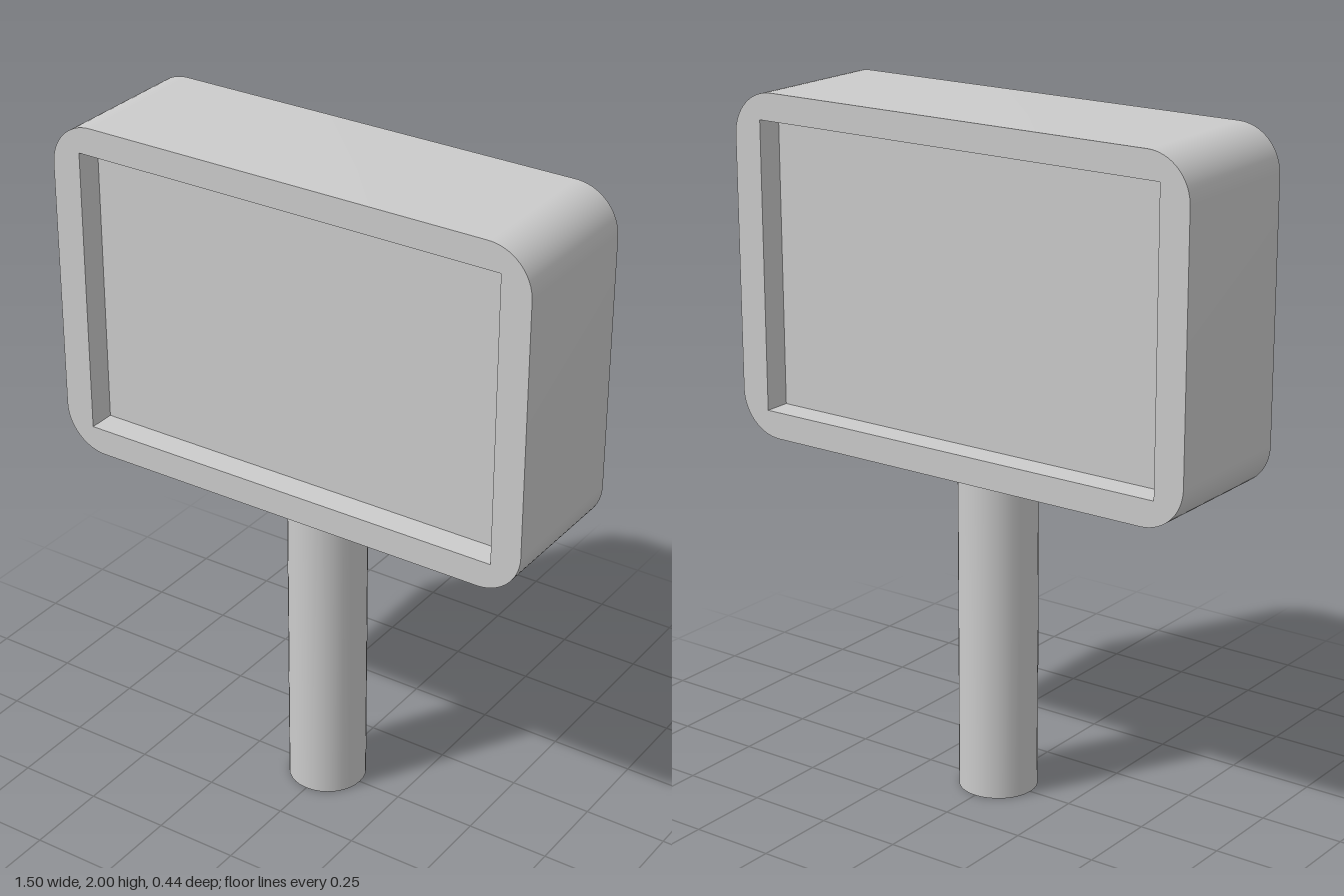
import * as THREE from 'three';
import { toCreasedNormals } from 'three/addons/utils/BufferGeometryUtils.js';

const material = new THREE.MeshStandardMaterial({ color: 0xcccccc });

function addPart(group, name, geometry, y) {
  const mesh = new THREE.Mesh(geometry, material);
  mesh.name = name;
  mesh.position.y = y;
  group.add(mesh);
}

function roundedRect(w, h, r) {
  const x = w / 2, y = h / 2, q = Math.PI / 2;
  const shape = new THREE.Shape();
  shape.absarc(x - r, y - r, r, 0, q);
  shape.absarc(-x + r, y - r, r, q, 2 * q);
  shape.absarc(-x + r, -y + r, r, 2 * q, 3 * q);
  shape.absarc(x - r, -y + r, r, 3 * q, 4 * q);
  shape.closePath();
  return shape;
}

export function createModel() {
  const group = new THREE.Group();
  group.name = 'signPost';

  const width = 1.5, height = 1.005, depth = 0.44;
  const windowWidth = 1.32, windowHeight = 0.846, recess = 0.08;
  const centreY = 2 - height / 2;

  // Rounded housing with a rectangular opening through it
  const outline = roundedRect(width, height, 0.13);
  const x = windowWidth / 2, y = windowHeight / 2;
  outline.holes.push(new THREE.Path([
    new THREE.Vector2(-x, -y), new THREE.Vector2(-x, y),
    new THREE.Vector2(x, y), new THREE.Vector2(x, -y),
  ]));
  const frame = new THREE.ExtrudeGeometry(outline, { depth, bevelEnabled: false, curveSegments: 8 });
  frame.translate(0, 0, -depth / 2);
  addPart(group, 'frame', toCreasedNormals(frame, Math.PI / 6), centreY);

  // Sign face, recessed on the front and back
  addPart(group, 'panel', new THREE.BoxGeometry(windowWidth, windowHeight, depth - 2 * recess), centreY);

  // Round post
  addPart(group, 'post', new THREE.CylinderGeometry(0.115, 0.115, 1, 32), 0.5);

  return group;
}
